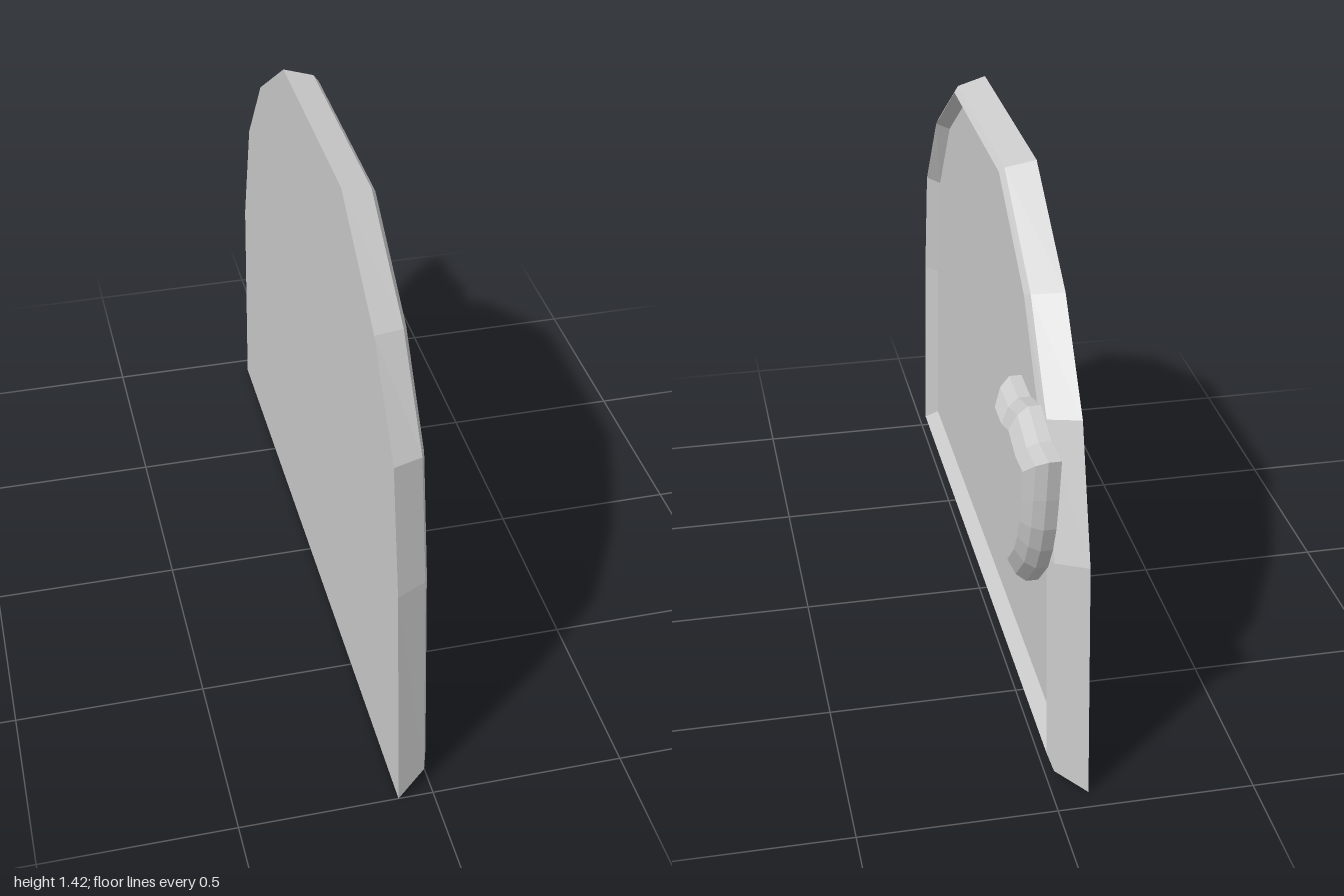
import * as THREE from 'three';

// Lofts counterclockwise [s, y] rings (s = -z) stacked along x, capped at both ends.
function loft(name, rings) {
  const pos = [];
  const n = rings[0].pts.length;
  const put = (ring, i) => {
    const [s, y] = ring.pts[i % n];
    pos.push(ring.x, y, -s);
  };
  for (let k = 0; k < rings.length - 1; k++) {
    const a = rings[k], b = rings[k + 1];
    for (let i = 0; i < n; i++) {
      put(a, i); put(a, i + 1); put(b, i + 1);
      put(a, i); put(b, i + 1); put(b, i);
    }
  }
  const cap = (ring, front) => {
    const contour = ring.pts.map(([s, y]) => new THREE.Vector2(s, y));
    for (const [p, q, r] of THREE.ShapeUtils.triangulateShape(contour, [])) {
      for (const i of front ? [p, q, r] : [p, r, q]) put(ring, i);
    }
  };
  cap(rings[0], false);
  cap(rings[rings.length - 1], true);

  const geometry = new THREE.BufferGeometry();
  geometry.setAttribute('position', new THREE.Float32BufferAttribute(pos, 3));
  geometry.computeVertexNormals();
  const mesh = new THREE.Mesh(geometry, new THREE.MeshStandardMaterial({ color: 0xcccccc, flatShading: true }));
  mesh.name = name;
  return mesh;
}

// Arched board with a bevelled rim around a sunken panel.
function createBoard() {
  const outer = [
    [-1, 0], [0.945, 0], [0.9, 0.63], [0.79, 0.97], [0.595, 1.21], [0.27, 1.42],
    [-0.38, 1.42], [-0.705, 1.21], [-0.895, 0.97], [-0.955, 0.63],
  ];
  const inner = [
    [-0.885, 0.11], [0.825, 0.11], [0.795, 0.63], [0.69, 0.945], [0.52, 1.18], [0.235, 1.37],
    [-0.345, 1.37], [-0.63, 1.18], [-0.8, 0.945], [-0.85, 0.63],
  ];
  // [x, fraction of the way from outer edge to panel edge]
  const steps = [[-0.09, 0], [-0.012, 0.38], [0, 0.67], [-0.035, 1]];
  return loft('archedBoard', steps.map(([x, t]) => ({
    x,
    pts: outer.map(([s, y], i) => [s + (inner[i][0] - s) * t, y + (inner[i][1] - y) * t]),
  })));
}

// Shield plate with a rounded-over front edge.
function createShield() {
  const cs = 0.787, cy = 0.8;
  const half = [
    [0, 0.54], [0.1, 0.64], [0.145, 0.715], [0.175, 0.79], [0.195, 0.88], [0.213, 0.99],
    [0.11, 0.985], [0, 1.02],
  ];
  const mirrored = half.slice(1, -1).reverse().map(([u, y]) => [-u, y]);
  const outline = [...half, ...mirrored];
  // [x, scale about the shield centre]
  const steps = [[0.01, 1], [0.04, 1], [0.066, 0.91], [0.087, 0.735]];
  return loft('shield', steps.map(([x, k]) => ({
    x,
    pts: outline.map(([u, y]) => [cs + u * k, cy + (y - cy) * k]),
  })));
}

export function createModel() {
  const group = new THREE.Group();
  group.name = 'boardWithShield';
  group.add(createBoard(), createShield());
  return group;
}
